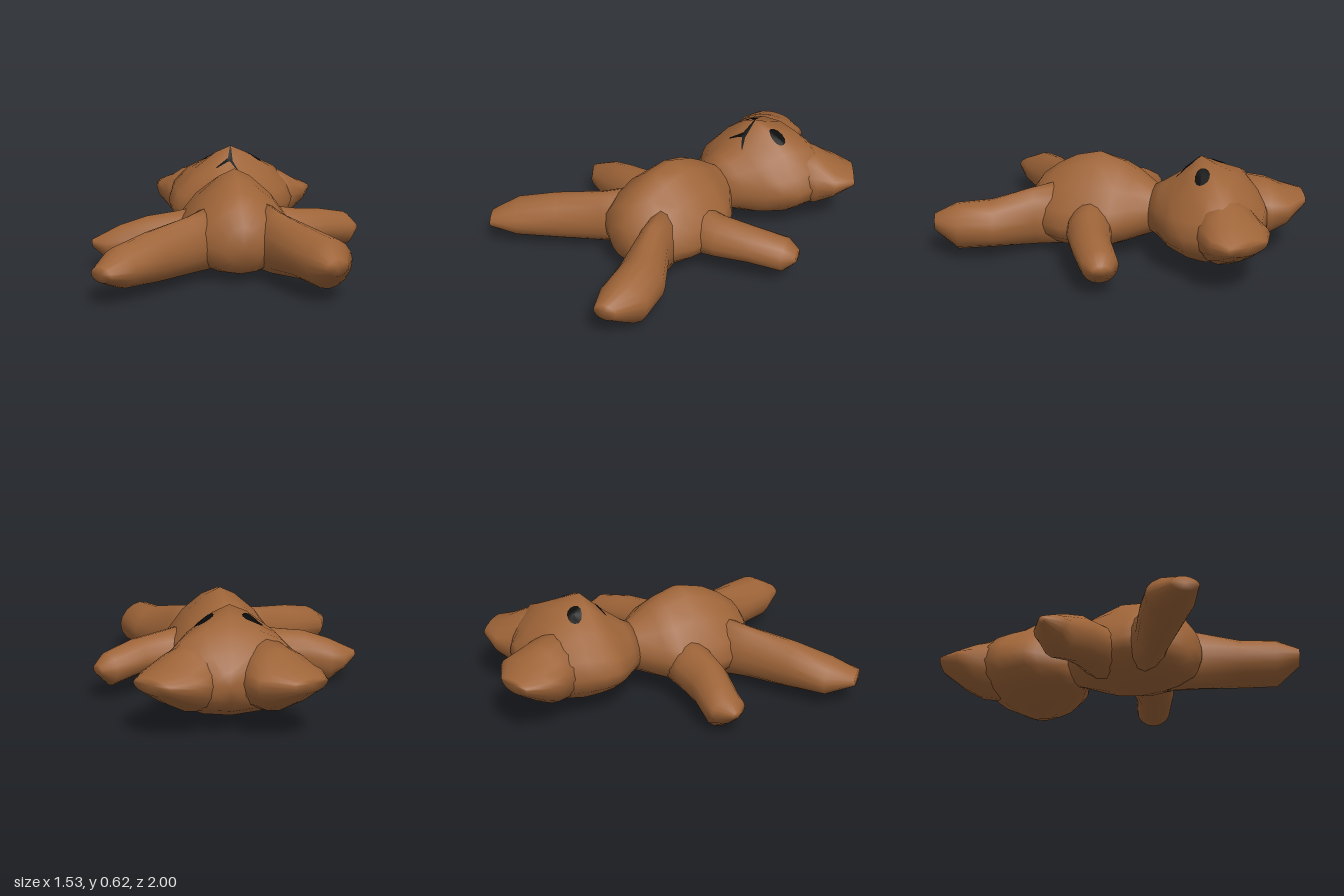
import * as THREE from 'three';

const fur = new THREE.MeshStandardMaterial({ color: 0x9e6438 });
fur.name = 'brown fur';
const thread = new THREE.MeshStandardMaterial({ color: 0x0a0a0a });
thread.name = 'black thread';

const SIDES = 16;

// Skin over upright rings placed along a horizontal direction.
// Each section: [x, z, halfWidth, yMiddle, yTop, yBottom, topRoundness = 1.8]
function loft(name, dirX, dirZ, sections) {
  const len = Math.hypot(dirX, dirZ);
  const sx = dirZ / len, sz = -dirX / len;
  const pos = [], index = [];
  const power = (v, n) => Math.sign(v) * Math.abs(v) ** (2 / n);
  for (const [x, z, w, mid, top, bottom, n = 1.8] of sections) {
    for (let i = 0; i < SIDES; i++) {
      const t = (i / SIDES) * Math.PI * 2;
      const c = Math.cos(t), s = Math.sin(t);
      const round = s >= 0 ? n : 2;
      const across = w * power(c, round);
      const up = power(s, round) * (s >= 0 ? top - mid : mid - bottom);
      pos.push(x + sx * across, mid + up, z + sz * across);
    }
  }
  const last = sections.length - 1;
  for (let k = 0; k < last; k++) {
    for (let i = 0; i < SIDES; i++) {
      const j = (i + 1) % SIDES;
      const a = k * SIDES + i, b = k * SIDES + j;
      index.push(a, b, b + SIDES, a, b + SIDES, a + SIDES);
    }
  }
  // Close both ends
  for (const k of [0, last]) {
    const [x, z, , mid] = sections[k];
    const pole = pos.length / 3;
    pos.push(x, mid, z);
    for (let i = 0; i < SIDES; i++) {
      const a = k * SIDES + i, b = k * SIDES + (i + 1) % SIDES;
      if (k === 0) index.push(pole, b, a);
      else index.push(pole, a, b);
    }
  }
  const geo = new THREE.BufferGeometry();
  geo.setAttribute('position', new THREE.Float32BufferAttribute(pos, 3));
  geo.setIndex(index);
  geo.computeVertexNormals();
  const mesh = new THREE.Mesh(geo, fur);
  mesh.name = name;
  return mesh;
}

// Drop a flat geometry drawn in (x, z) onto the surfaces below it
function drape(name, geo, targets) {
  const ray = new THREE.Raycaster();
  const down = new THREE.Vector3(0, -1, 0);
  const p = geo.attributes.position;
  for (let i = 0; i < p.count; i++) {
    const x = p.getX(i), z = p.getY(i);
    ray.set(new THREE.Vector3(x, 2, z), down);
    const hit = ray.intersectObjects(targets)[0];
    p.setXYZ(i, x, (hit ? hit.point.y : 0.5) + 0.005, z);
  }
  // The axis swap mirrors the faces, so turn them over
  const idx = geo.index.array;
  for (let i = 0; i < idx.length; i += 3) [idx[i + 1], idx[i + 2]] = [idx[i + 2], idx[i + 1]];
  geo.computeVertexNormals();
  const mesh = new THREE.Mesh(geo, thread);
  mesh.name = name;
  return mesh;
}

function eyePatch(x, z, rx, rz, tilt) {
  return new THREE.RingGeometry(0, 1, 12, 4).scale(rx, rz, 1).rotateZ(tilt).translate(x, z, 0);
}

// Straight stitch between two points, tapering from width w0 to w1
function stitch(x0, z0, x1, z1, w0, w1) {
  const len = Math.hypot(x1 - x0, z1 - z0);
  const geo = new THREE.PlaneGeometry(1, 1, 8, 2);
  const p = geo.attributes.position;
  for (let i = 0; i < p.count; i++) {
    const t = p.getX(i) + 0.5;
    p.setXY(i, t * len, p.getY(i) * (w0 + (w1 - w0) * t));
  }
  return geo.rotateZ(Math.atan2(z1 - z0, x1 - x0)).translate(x0, z0, 0);
}

export function createModel() {
  const model = new THREE.Group();
  model.name = 'lyingTeddyBear';

  // Plump body, peaked at the belly
  const body = loft('body', 0, 1, [
    [0.02, -0.28, 0.12, 0.25, 0.38, 0.14],
    [0.02, -0.19, 0.14, 0.25, 0.4, 0.12],
    [0.02, -0.08, 0.26, 0.24, 0.475, 0.08, 1.6],
    [0.02, 0.0, 0.31, 0.22, 0.52, 0.05, 1.5],
    [0.03, 0.13, 0.33, 0.2, 0.565, 0.03, 1.4],
    [0.03, 0.27, 0.32, 0.2, 0.53, 0.025, 1.5],
    [0.03, 0.38, 0.28, 0.2, 0.47, 0.03, 1.6],
    [0.03, 0.47, 0.21, 0.2, 0.4, 0.05],
    [0.04, 0.53, 0.1, 0.2, 0.31, 0.11],
  ]);

  // Head, rising to the snout
  const head = loft('head', 0, 1, [
    [0.12, -0.83, 0.08, 0.28, 0.36, 0.2],
    [0.1, -0.76, 0.27, 0.28, 0.44, 0.13, 2],
    [0.09, -0.65, 0.38, 0.28, 0.545, 0.07, 1.9],
    [0.08, -0.55, 0.38, 0.28, 0.575, 0.05, 1.6],
    [0.07, -0.46, 0.37, 0.27, 0.615, 0.06, 1.35],
    [0.05, -0.38, 0.34, 0.27, 0.54, 0.075, 1.45],
    [0.04, -0.32, 0.29, 0.26, 0.49, 0.085, 1.6],
    [0.02, -0.24, 0.19, 0.25, 0.43, 0.11],
    [0.02, -0.17, 0.13, 0.25, 0.39, 0.13],
  ]);

  // Ears, thinning to a blunt edge
  const rightEar = loft('rightEar', -0.38, -0.92, [
    [-0.05, -0.6, 0.19, 0.29, 0.5, 0.1],
    [-0.14, -0.78, 0.2, 0.3, 0.45, 0.13],
    [-0.18, -0.87, 0.2, 0.32, 0.4, 0.19],
    [-0.26, -0.965, 0.1, 0.33, 0.355, 0.28],
  ]);
  const leftEar = loft('leftEar', 0.7, -0.72, [
    [0.2, -0.58, 0.19, 0.29, 0.5, 0.1],
    [0.34, -0.69, 0.19, 0.29, 0.45, 0.12],
    [0.42, -0.76, 0.19, 0.3, 0.39, 0.18],
    [0.515, -0.825, 0.12, 0.31, 0.345, 0.26],
  ]);

  // Arms
  const rightArm = loft('rightArm', -1, 0, [
    [-0.1, 0.07, 0.15, 0.2, 0.36, 0.06],
    [-0.3, 0.075, 0.13, 0.19, 0.32, 0.06],
    [-0.45, 0.085, 0.115, 0.17, 0.3, 0.035],
    [-0.6, 0.07, 0.108, 0.14, 0.25, 0.0],
    [-0.68, 0.07, 0.1, 0.14, 0.21, 0.06],
    [-0.76, 0.075, 0.02, 0.15, 0.17, 0.13],
  ]);
  const leftArm = loft('leftArm', 0.87, -0.45, [
    [0.1, 0.15, 0.15, 0.2, 0.38, 0.06],
    [0.36, 0.09, 0.125, 0.2, 0.33, 0.1],
    [0.53, 0.015, 0.11, 0.2, 0.31, 0.11],
    [0.69, -0.085, 0.1, 0.18, 0.27, 0.08],
    [0.75, -0.115, 0.05, 0.18, 0.21, 0.15],
  ]);

  // Legs
  const rightLeg = loft('rightLeg', -0.74, 0.68, [
    [-0.1, 0.3, 0.13, 0.2, 0.4, 0.05],
    [-0.24, 0.43, 0.095, 0.19, 0.36, 0.05],
    [-0.45, 0.6, 0.12, 0.18, 0.32, 0.05],
    [-0.62, 0.74, 0.13, 0.16, 0.27, 0.06],
    [-0.705, 0.865, 0.075, 0.16, 0.2, 0.12],
  ]);
  const leftLeg = loft('leftLeg', 0.4, 0.92, [
    [0.15, 0.3, 0.12, 0.2, 0.42, 0.04],
    [0.23, 0.47, 0.1, 0.2, 0.38, 0.04],
    [0.36, 0.66, 0.14, 0.19, 0.33, 0.06],
    [0.435, 0.84, 0.14, 0.19, 0.315, 0.055],
    [0.45, 0.975, 0.065, 0.2, 0.24, 0.15],
  ]);

  const furParts = [body, head, rightEar, leftEar, rightArm, leftArm, rightLeg, leftLeg];
  model.add(...furParts);

  // Face: eyes and stitched nose and mouth
  const face = new THREE.Group();
  face.name = 'face';
  const addFace = (name, geo) => face.add(drape(name, geo, furParts));
  addFace('rightEye', eyePatch(-0.04, -0.535, 0.055, 0.04, 0.35));
  addFace('leftEye', eyePatch(0.21, -0.5, 0.052, 0.04, 0));
  addFace('noseStitch', stitch(0.07, -0.455, 0.06, -0.375, 0.006, 0.03));
  addFace('rightMouthStitch', stitch(0.06, -0.38, -0.025, -0.345, 0.025, 0.008));
  addFace('leftMouthStitch', stitch(0.06, -0.38, 0.1, -0.325, 0.022, 0.006));
  model.add(face);

  return model;
}
